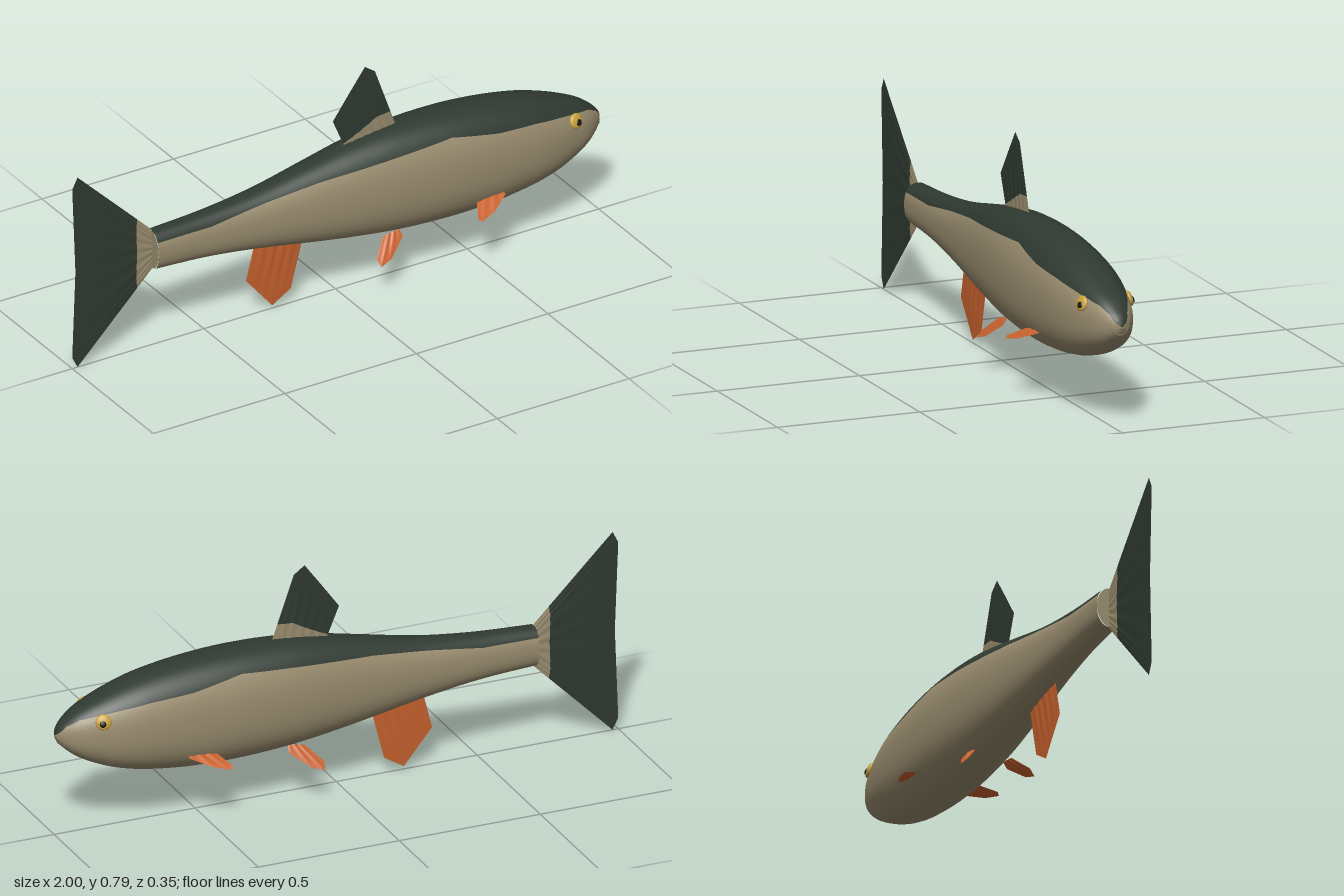
import * as THREE from 'three';

const mat = (name, color) => {
  const m = new THREE.MeshStandardMaterial({ color });
  m.name = name;
  return m;
};

// Body stations: x, top y, bottom y, half width, y of the dark back's edge
const STATIONS = [
  [-0.70, 0.43, 0.292, 0.047, 0.402],
  [-0.50, 0.441, 0.28, 0.054, 0.407],
  [-0.30, 0.464, 0.254, 0.069, 0.437],
  [-0.10, 0.504, 0.22, 0.09, 0.464],
  [0.05, 0.534, 0.197, 0.107, 0.477],
  [0.20, 0.553, 0.18, 0.122, 0.49],
  [0.38, 0.557, 0.172, 0.132, 0.503],
  [0.55, 0.545, 0.176, 0.131, 0.473],
  [0.70, 0.52, 0.194, 0.122, 0.46],
  [0.80, 0.491, 0.218, 0.107, 0.445],
  [0.88, 0.46, 0.25, 0.086, 0.43],
  [0.93, 0.435, 0.278, 0.067, 0.418],
  [0.97, 0.405, 0.311, 0.042, 0.395],
  [0.99, 0.383, 0.335, 0.022, 0.373],
  [0.998, 0.366, 0.352, 0.007, 0.362],
];

// Smooth value of one column between two stations, using finite-difference slopes
function sample(i, t, col) {
  const S = STATIONS, last = S.length - 1;
  const slope = (j) => {
    const a = S[Math.max(j - 1, 0)], b = S[Math.min(j + 1, last)];
    return (b[col] - a[col]) / (b[0] - a[0]);
  };
  const p = S[i], q = S[i + 1], h = q[0] - p[0], t2 = t * t, t3 = t2 * t;
  return (2 * t3 - 3 * t2 + 1) * p[col] + (t3 - 2 * t2 + t) * h * slope(i)
    + (3 * t2 - 2 * t3) * q[col] + (t3 - t2) * h * slope(i + 1);
}

// Skin of rounded cross-sections, split into back and flank along the edge line
function bodyGeometry() {
  const BACK = 8, FLANK = 14, RING = 2 * (BACK + FLANK), STEPS = 5, POWER = 2.35;
  const pos = [], back = [], flank = [];
  let rings = 0;
  const addRing = (x, top, bottom, hw, edge) => {
    const cy = (top + bottom) / 2, hh = (top - bottom) / 2;
    const ratio = THREE.MathUtils.clamp((edge - cy) / hh, 0.05, 0.98);
    const split = Math.acos(ratio ** (POWER / 2));
    const round = (v) => Math.sign(v) * Math.abs(v) ** (2 / POWER);
    for (let k = 0; k < RING; k++) {
      const side = k <= RING / 2 ? 1 : -1, j = side > 0 ? k : RING - k;
      const a = j <= BACK ? split * j / BACK : split + (Math.PI - split) * (j - BACK) / FLANK;
      pos.push(x, cy + hh * round(Math.cos(a)), side * hw * round(Math.sin(a)));
    }
    rings++;
  };
  for (let i = 0; i < STATIONS.length - 1; i++) {
    for (let s = 0; s < STEPS; s++) {
      const t = s / STEPS, p = STATIONS[i], q = STATIONS[i + 1];
      addRing(p[0] + (q[0] - p[0]) * t, ...[1, 2, 3].map((c) => sample(i, t, c)), p[4] + (q[4] - p[4]) * t);
    }
  }
  addRing(...STATIONS[STATIONS.length - 1]);
  const tip = pos.length / 3;
  pos.push(1, 0.359, 0);
  for (let i = 0; i < rings; i++) {
    for (let k = 0; k < RING; k++) {
      const n = (k + 1) % RING, a = i * RING + k, d = i * RING + n;
      const list = k < BACK || k >= RING - BACK ? back : flank;
      if (i === rings - 1) list.push(a, d, tip);
      else list.push(a, d, d + RING, a, d + RING, a + RING);
    }
  }
  const g = new THREE.BufferGeometry();
  g.setAttribute('position', new THREE.Float32BufferAttribute(pos, 3));
  g.setIndex([...back, ...flank]);
  g.addGroup(0, back.length, 0);
  g.addGroup(back.length, flank.length, 1);
  g.computeVertexNormals();
  return g;
}

// Point at fraction u along a list of points
function along(points, u) {
  const f = u * (points.length - 1), i = Math.min(Math.floor(f), points.length - 2);
  return points[i].clone().lerp(points[i + 1], f - i);
}

// Thin rayed fin spanning from a root line to a tip line; base = coloured root fractions
function finGeometry(root, tip, thick, rays, base = [0, 0]) {
  const toV = (p) => new THREE.Vector3(p[0], p[1], p[2] || 0);
  const R = root.map(toV), T = tip.map(toV), U = 48, V = 12, BASE = 4;
  const normal = R[R.length - 1].clone().sub(R[0])
    .cross(along(T, 0.5).sub(along(R, 0.5))).normalize();
  const pos = [], baseIdx = [], mainIdx = [];
  for (const side of [1, -1]) {
    const start = pos.length / 3;
    for (let j = 0; j <= V; j++) {
      for (let i = 0; i <= U; i++) {
        const u = i / U, b = base[0] + (base[1] - base[0]) * u;
        const v = j <= BASE ? b * j / BASE : b + (1 - b) * (j - BASE) / (V - BASE);
        const h = thick / 2 * Math.sqrt(Math.max(0, Math.sin(Math.PI * u))) * (1 - v * v)
          * (0.75 + 0.25 * Math.cos(u * rays * Math.PI * 2));
        const p = along(R, u).lerp(along(T, u), v).addScaledVector(normal, side * h);
        pos.push(p.x, p.y, p.z);
        if (i === U || j === V || (j < BASE && base[1] === 0)) continue;
        const a = start + j * (U + 1) + i, d = a + U + 1;
        const quad = [a, a + 1, d + 1, a, d + 1, d];
        (j < BASE ? baseIdx : mainIdx).push(...(side > 0 ? quad : quad.reverse()));
      }
    }
  }
  const g = new THREE.BufferGeometry();
  g.setAttribute('position', new THREE.Float32BufferAttribute(pos, 3));
  g.setIndex([...mainIdx, ...baseIdx]);
  g.addGroup(0, mainIdx.length, 0);
  g.addGroup(mainIdx.length, baseIdx.length, 1);
  g.computeVertexNormals();
  return g;
}

export function createModel() {
  const model = new THREE.Group();
  model.name = 'fish';
  const dark = mat('dark green back', 0x2f3a31);
  const tan = mat('tan flank', 0x9a8d6f);
  const orange = mat('orange fin', 0xc8622e);
  const gold = mat('gold eye', 0xc9a23c);
  const black = mat('black pupil', 0x14140f);
  const add = (name, geometry, material, parent = model) => {
    const m = new THREE.Mesh(geometry, material);
    m.name = name;
    parent.add(m);
    return m;
  };

  add('body', bodyGeometry(), [dark, tan]);

  // Flat end of the tail stem
  const cap = add('tailStemEnd', new THREE.CircleGeometry(1, 32), tan);
  cap.scale.set(0.047, 0.069, 1);
  cap.rotation.y = -Math.PI / 2;
  cap.position.set(-0.7, 0.361, 0);

  // Lips
  const mouth = add('mouth', new THREE.TorusGeometry(0.025, 0.006, 8, 28), tan);
  mouth.rotation.y = Math.PI / 2;
  mouth.position.set(0.982, 0.355, 0);

  // Fins on the centre line
  add('tailFin', finGeometry([[-0.69, 0.425], [-0.69, 0.295]],
    [[-0.98, 0.71], [-1, 0.67], [-0.988, 0.36], [-1, 0.045], [-0.98, 0.005]], 0.009, 9, [0.22, 0.22]), [dark, tan]);
  add('dorsalFin', finGeometry([[0.04, 0.51], [0.235, 0.53]],
    [[-0.01, 0.63], [0.05, 0.713], [0.112, 0.797], [0.15, 0.77]], 0.008, 6, [0.22, 0.31]), [dark, tan]);
  add('analFin', finGeometry([[-0.305, 0.275], [-0.12, 0.25]],
    [[-0.34, 0.135], [-0.29, 0.075], [-0.24, 0.015], [-0.17, 0.058]], 0.009, 5), [orange, tan]);

  // Paired fins and eyes
  for (const s of [1, -1]) {
    const side = s > 0 ? 'right' : 'left';
    const flip = (pts) => pts.map(([x, y, z]) => [x, y, z * s]);
    add(side + 'PelvicFin', finGeometry(flip([[0.14, 0.19, 0.066], [0.2, 0.2, 0.066]]),
      flip([[0.09, 0.14, 0.108], [0.096, 0.118, 0.128], [0.14, 0.131, 0.118], [0.205, 0.18, 0.083]]), 0.012, 3), [orange, tan]);
    add(side + 'PectoralFin', finGeometry(flip([[0.47, 0.24, 0.108], [0.57, 0.25, 0.105]]),
      flip([[0.44, 0.214, 0.168], [0.45, 0.206, 0.177], [0.51, 0.219, 0.158], [0.575, 0.246, 0.118]]), 0.012, 3), [orange, tan]);

    const eye = new THREE.Group();
    eye.name = side + 'Eye';
    eye.position.set(0.862, 0.414, s * 0.084);
    eye.rotation.set(-s * 0.35, s * 0.25, 0);
    model.add(eye);
    const ball = add('eyeball', new THREE.SphereGeometry(0.026, 24, 16), gold, eye);
    ball.scale.z = 0.4;
    const pupil = add('pupil', new THREE.SphereGeometry(0.011, 16, 12), black, eye);
    pupil.scale.z = 0.4;
    pupil.position.set(0.004, -0.006, s * 0.009);
  }
  return model;
}
